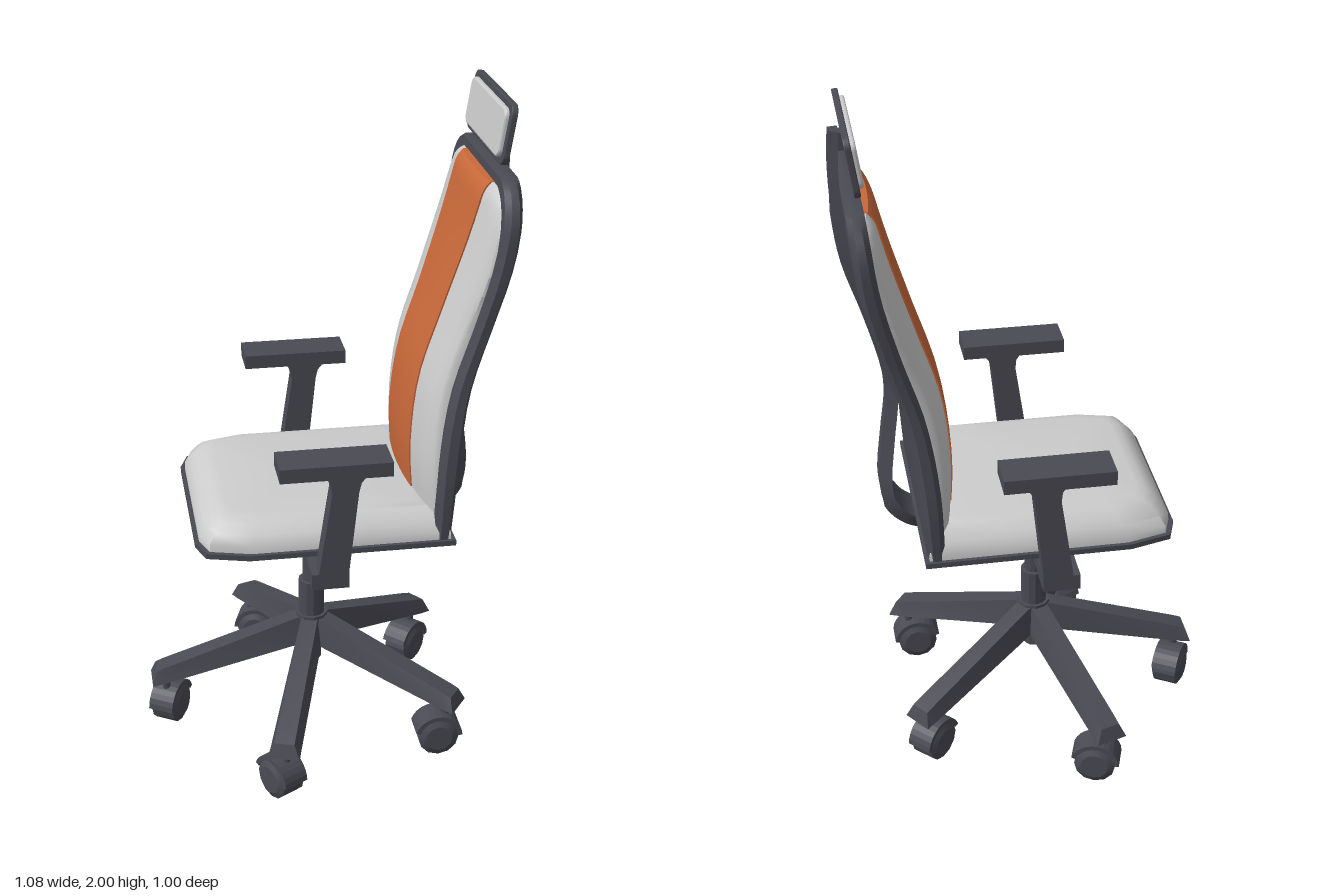
import * as THREE from 'three';
import { toCreasedNormals } from 'three/addons/utils/BufferGeometryUtils.js';

const dark = new THREE.MeshStandardMaterial({ color: 0x4a4a54 });
const grey = new THREE.MeshStandardMaterial({ color: 0xcccccc });
const orange = new THREE.MeshStandardMaterial({ color: 0xc8683a });
const V = (x, y, z) => new THREE.Vector3(x, y, z);

// Closed solid through equal-length rings, capped at both ends
function loft(rings, crease = 0.6) {
  const n = rings[0].length, pos = [], idx = [];
  rings.forEach(r => r.forEach(p => pos.push(p.x, p.y, p.z)));
  for (let i = 0; i < rings.length - 1; i++) for (let j = 0; j < n; j++) {
    const a = i * n + j, b = i * n + (j + 1) % n;
    idx.push(a, b, a + n, b, b + n, a + n);
  }
  [0, rings.length - 1].forEach((ri, end) => {
    const c = rings[ri].reduce((s, p) => s.add(p), V(0, 0, 0)).divideScalar(n);
    const ci = pos.length / 3;
    pos.push(c.x, c.y, c.z);
    for (let j = 0; j < n; j++) {
      const a = ri * n + j, b = ri * n + (j + 1) % n;
      if (end) idx.push(ci, a, b); else idx.push(ci, b, a);
    }
  });
  // Turn the faces outward when the enclosed volume is negative
  const at = i => V(pos[3 * i], pos[3 * i + 1], pos[3 * i + 2]);
  let vol = 0;
  for (let i = 0; i < idx.length; i += 3) vol += at(idx[i]).dot(at(idx[i + 1]).cross(at(idx[i + 2])));
  if (vol < 0) idx.reverse();
  const g = new THREE.BufferGeometry();
  g.setAttribute('position', new THREE.Float32BufferAttribute(pos, 3));
  g.setIndex(idx);
  return toCreasedNormals(g, crease);
}

// Smooth interpolation through [t, value] pairs
function table(pairs) {
  return t => {
    let i = 0;
    while (i < pairs.length - 2 && t > pairs[i + 1][0]) i++;
    const [a, b] = [pairs[i], pairs[i + 1]], m = k => {
      const p = pairs[Math.max(0, k - 1)], q = pairs[Math.min(pairs.length - 1, k + 1)];
      return (q[1] - p[1]) / (q[0] - p[0]);
    };
    const h = b[0] - a[0], s = THREE.MathUtils.clamp((t - a[0]) / h, 0, 1), s2 = s * s, s3 = s2 * s;
    return (2 * s3 - 3 * s2 + 1) * a[1] + (s3 - 2 * s2 + s) * h * m(i) + (3 * s2 - 2 * s3) * b[1] + (s3 - s2) * h * m(i + 1);
  };
}

function add(parent, name, geo, mat, x = 0, y = 0, z = 0) {
  const m = new THREE.Mesh(geo, mat);
  m.name = name;
  m.position.set(x, y, z);
  parent.add(m);
  return m;
}
const box = (x0, x1, y0, y1, z0, z1) =>
  new THREE.BoxGeometry(x1 - x0, y1 - y0, z1 - z0).translate((x0 + x1) / 2, (y0 + y1) / 2, (z0 + z1) / 2);
const rows = (a, b, n) => Array.from({ length: n + 1 }, (_, i) => a + (b - a) * i / n);

function buildSeat(g) {
  const half = [[-0.395, 0.24], [-0.37, 0.31], [-0.25, 0.342], [0.1, 0.342], [0.34, 0.342]];
  const outline = [...half, ...half.map(([x, z]) => [x, -z]).reverse()];
  const ring = (y, inset) => outline.map(([x, z]) =>
    V(-0.03 + (x + 0.03) * (1 - inset / 0.37), y, z * (1 - inset / 0.345)));
  add(g, 'seatTray', loft([ring(0.75, 0.015), ring(0.756, -0.004), ring(0.772, -0.004)]), dark);
  add(g, 'seatCushion', loft([[0.77, 0.008], [0.795, 0.01], [0.82, 0.027], [0.842, 0.048], [0.856, 0.07], [0.861, 0.095]]
    .map(([y, i]) => ring(y, i)), 0.75), grey);
}

function buildBackrest(g) {
  const w = table([[0.76, 0.337], [0.95, 0.344], [1.3, 0.316], [1.55, 0.33], [1.68, 0.334]]);
  const corner = y => y < 1.68 ? 0 : 0.12 * (1 - Math.sqrt(Math.max(0, 1 - ((y - 1.68) / 0.125) ** 2)));
  const halfW = y => w(Math.min(y, 1.68)) - corner(y);
  const rear = table([[0.76, 0.335], [1, 0.353], [1.2, 0.38], [1.4, 0.438], [1.6, 0.49], [1.8, 0.51]]);
  const front = table([[0.76, 0.285], [1, 0.295], [1.2, 0.325], [1.4, 0.385], [1.6, 0.435], [1.8, 0.46]]);
  const face = table([[0.76, 0.25], [0.86, 0.24], [1, 0.235], [1.2, 0.259], [1.4, 0.32], [1.6, 0.38], [1.78, 0.427]]);
  const ys = [...rows(0.762, 1.68, 16), 1.71, 1.74, 1.765, 1.785, 1.797, 1.803];
  add(g, 'backShell', loft(ys.map(y => {
    const f = front(y), r = rear(y), h = halfW(y);
    return [V(f, y, -h + 0.02), V(f + 0.015, y, -h), V(r - 0.015, y, -h), V(r, y, -h + 0.03),
      V(r, y, h - 0.03), V(r - 0.015, y, h), V(f + 0.015, y, h), V(f, y, h - 0.02)];
  })), dark);

  // Padding bulges toward the middle; the stripe lies just above it
  const bow = (y, z) => face(y) + 0.036 * (z / 0.31) ** 2;
  const us = [-1, -0.97, -0.88, -0.7, -0.5, -0.25, 0, 0.25, 0.5, 0.7, 0.88, 0.97, 1];
  const padYs = [...rows(0.79, 1.66, 16), 1.69, 1.72, 1.745, 1.762, 1.772, 1.778];
  add(g, 'backCushion', loft(padYs.map(y => {
    const h = halfW(y + 0.02) - 0.035, top = Math.max(0, y - 1.755) * 0.6, back = front(y) + 0.015;
    return [V(back, y, -h), ...us.map(u => V(
      Math.min(back - 0.003, bow(y, u * h) + top + 0.02 * Math.max(0, (Math.abs(u) - 0.85) / 0.15) ** 2), y, u * h)), V(back, y, h)];
  }), 0.8), grey);
  add(g, 'backStripe', loft(padYs.map(y => {
    const s = 0.15 + 0.012 * Math.cos((y - 0.8) * 6.2), top = Math.max(0, y - 1.755) * 0.6;
    return [V(front(y), y + 0.002, -s), ...rows(-s, s, 8).map(z => V(bow(y, z) + top - 0.004, y + 0.002, z)), V(front(y), y + 0.002, s)];
  }), 0.8), orange);
}

function buildSpine(g) {
  // Bar under the seat that sweeps up behind the back
  const path = new THREE.CatmullRomCurve3([[-0.03, 0.716], [0.15, 0.716], [0.3, 0.716], [0.36, 0.735], [0.408, 0.785], [0.424, 0.86],
    [0.412, 1], [0.395, 1.15], [0.405, 1.25], [0.45, 1.42], [0.5, 1.58], [0.518, 1.7], [0.524, 1.85], [0.518, 1.955]].map(([x, y]) => V(x, y, 0)));
  const width = table([[0.7, 0.068], [0.8, 0.06], [1.2, 0.037], [1.6, 0.035], [1.96, 0.026]]);
  add(g, 'backSpine', loft(rows(0, 1, 48).map(t => {
    const p = path.getPoint(t), d = path.getTangent(t), h = width(p.y);
    const k = p.y > 1.75 ? 0.014 : p.y > 0.8 ? 0.018 : 0.023, n = V(-d.y, d.x, 0).multiplyScalar(k);
    return [[1, -1], [1, 1], [-1, 0.6], [-1, -0.6]].map(([a, b]) => p.clone().addScaledVector(n, a).add(V(0, 0, b * h)));
  })), dark);
}

function buildHeadrest(g) {
  const head = new THREE.Group();
  head.name = 'headrest';
  head.position.set(0.49, 1.916, 0);
  head.rotation.z = -0.15;
  g.add(head);
  const slab = (w, h, r, depth, bevel) => {
    const s = new THREE.Shape();
    [[w - r, h - r, 0], [r - w, h - r, 1], [r - w, r - h, 2], [w - r, r - h, 3]].forEach(([x, y, q]) =>
      s.absarc(x, y, r, q * Math.PI / 2, (q + 1) * Math.PI / 2));
    return new THREE.ExtrudeGeometry(s, { depth, bevelEnabled: true, bevelThickness: bevel, bevelSize: bevel, bevelOffset: -bevel, bevelSegments: 2, curveSegments: 4 })
      .rotateY(-Math.PI / 2);
  };
  add(head, 'headrestFrame', slab(0.21, 0.085, 0.03, 0.012, 0.003), dark);
  add(head, 'headrestPad', slab(0.19, 0.068, 0.025, 0.014, 0.006), grey, -0.008);
  add(g, 'headrestBracket', box(0.485, 0.525, 1.9, 1.95, -0.02, 0.02), dark);
}

function buildArms(g) {
  add(g, 'armCrossbar', box(-0.087, 0.02, 0.69, 0.738, -0.42, 0.42), dark);
  add(g, 'seatMount', box(-0.087, 0.15, 0.735, 0.755, -0.12, 0.12), dark);
  const post = new THREE.Shape([[-0.087, 0.69], [0.02, 0.69], [0.02, 0.75], [0.045, 0.99], [0.052, 1.02], [0.078, 1.052],
    [-0.055, 1.052], [-0.033, 1.02], [-0.03, 0.99], [-0.067, 0.738], [-0.087, 0.738]].map(p => new THREE.Vector2(...p)));
  for (const [side, s] of [['left', 1], ['right', -1]]) {
    add(g, side + 'ArmPost', new THREE.ExtrudeGeometry(post, { depth: 0.058, bevelEnabled: false }), dark, 0, 0, s * 0.392 - 0.029);
    add(g, side + 'ArmPad', new THREE.BoxGeometry(0.315, 0.042, 0.115), dark, -0.022, 1.07, s * 0.393);
  }
}

function buildCaster() {
  const c = new THREE.Group();
  c.name = 'caster';
  add(c, 'casterStem', new THREE.CylinderGeometry(0.013, 0.013, 0.08, 8), dark, 0, 0.15);
  const wheel = new THREE.LatheGeometry([[0, -0.046], [0.042, -0.046], [0.062, -0.036], [0.062, 0.036], [0.042, 0.046], [0, 0.046]]
    .map(p => new THREE.Vector2(...p)), 12).rotateX(Math.PI / 2);
  add(c, 'casterWheel', toCreasedNormals(wheel, 0.4), dark, 0.025, 0.062);
  const hood = new THREE.Shape();
  hood.absarc(0, 0, 0.074, 0.3, Math.PI - 0.05, false);
  hood.absarc(0, 0, 0.06, Math.PI - 0.05, 0.3, true);
  add(c, 'casterHood', new THREE.ExtrudeGeometry(hood, { depth: 0.08, bevelEnabled: false, curveSegments: 6 }), dark, 0.025, 0.062, -0.04);
  return c;
}

function buildBase(g) {
  const cx = -0.025;
  const tube = (name, r, y0, y1, n) => add(g, name, toCreasedNormals(new THREE.CylinderGeometry(r, r, y1 - y0, n), 0.4), dark, cx, (y0 + y1) / 2);
  tube('gasLift', 0.028, 0.47, 0.7, 12);
  tube('liftSleeve', 0.04, 0.35, 0.48, 12);
  tube('hubCollar', 0.05, 0.3, 0.365, 10);
  tube('hubCore', 0.03, 0.2, 0.32, 10);
  // Direction in which each caster trails, as [x, z]
  const trails = [[0.6, -1], [-0.5, -0.85], [-1, 0], [-0.7, 0.7], [0.9, 0.3]];
  trails.forEach(([dx, dz], i) => {
    const a = Math.PI - i * Math.PI * 2 / 5, c = Math.cos(a), s = Math.sin(a);
    const rings = [[0, 0.36, 0.26, 0.026, 0.036], [0.05, 0.355, 0.265, 0.026, 0.038], [0.465, 0.215, 0.168, 0.03, 0.046], [0.49, 0.205, 0.162, 0.03, 0.048]];
    add(g, 'baseLeg', loft(rings.map(([r, yt, yb, wt, wb], k) => [[yt, wt], [yt, -wt], [yb, -wb], [yb, wb]].map(([y, w]) => {
      const q = r + (k === 3 && y === yb ? 0.015 : 0);
      return V(cx + q * c - w * s, y, q * s + w * c);
    })), 0.3), dark);
    const caster = buildCaster();
    caster.position.set(cx + 0.46 * c, 0, 0.46 * s);
    caster.rotation.y = Math.atan2(-dz, dx);
    g.add(caster);
  });
}

export function createModel() {
  const g = new THREE.Group();
  g.name = 'officeChair';
  [buildSeat, buildBackrest, buildSpine, buildHeadrest, buildArms, buildBase].forEach(build => build(g));
  return g;
}
